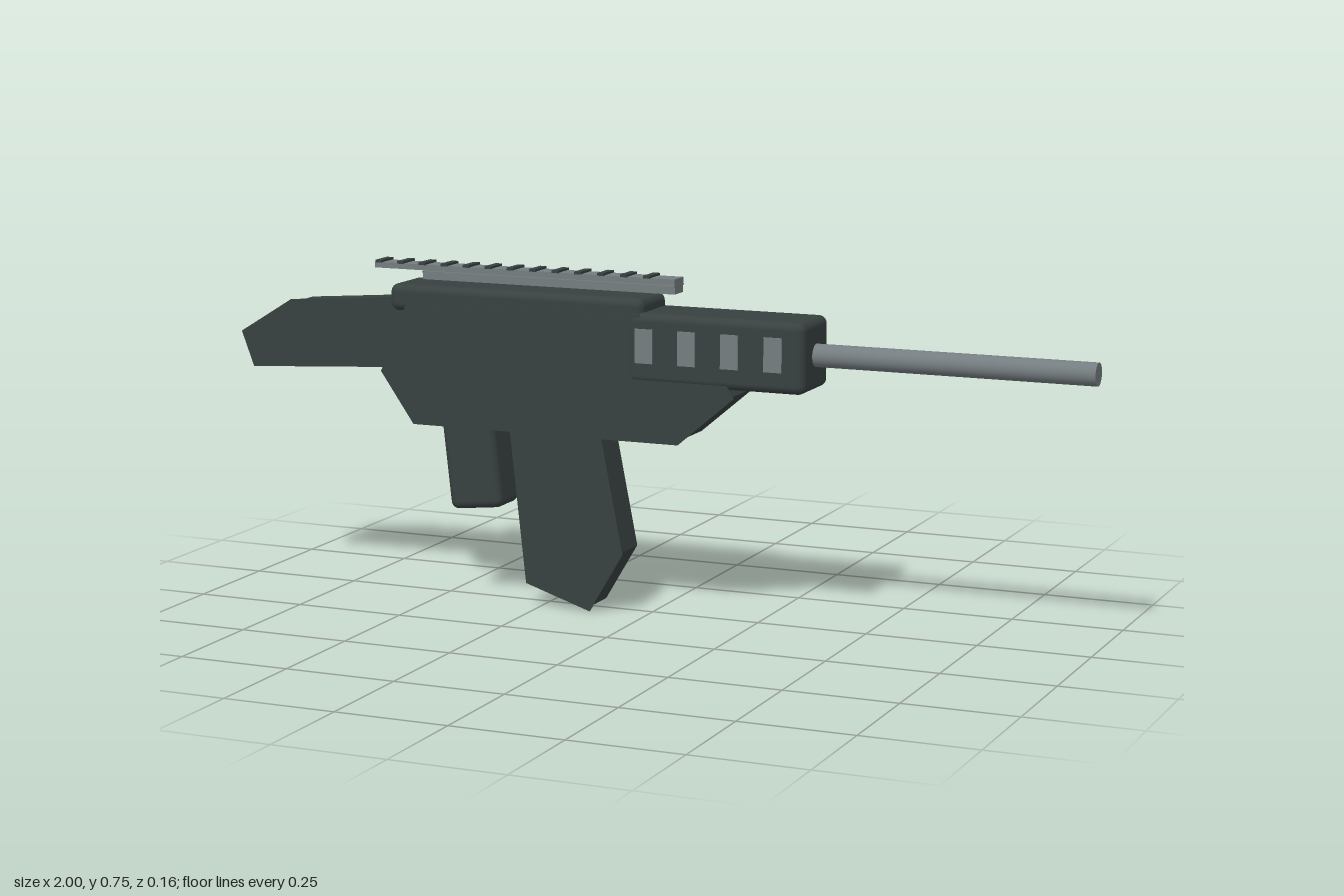
import * as THREE from 'three';
import { RoundedBoxGeometry } from 'three/addons/geometries/RoundedBoxGeometry.js';

export function createModel() {
  const model = new THREE.Group();
  const dark = new THREE.MeshStandardMaterial({ color: 0x384040 });
  dark.name = 'dark polymer';
  const metal = new THREE.MeshStandardMaterial({ color: 0x757d80 });
  metal.name = 'grey metal';

  function add(name, geometry, material, x = 0, y = 0, z = 0, parent = model) {
    const mesh = new THREE.Mesh(geometry, material);
    mesh.name = name;
    mesh.position.set(x, y, z);
    parent.add(mesh);
    return mesh;
  }

  // Bevelled profile, set in slightly behind a full-size flat side plate
  function profilePart(name, points, halfDepth) {
    const shape = new THREE.Shape(points.map(([x, y]) => new THREE.Vector2(x, y)));
    const bevel = 0.006, plate = 0.003;
    const group = new THREE.Group();
    group.name = name;
    model.add(group);
    const core = new THREE.ExtrudeGeometry(shape, {
      depth: 2 * halfDepth - 2 * bevel - plate, bevelThickness: bevel,
      bevelSize: bevel, bevelOffset: -0.013, bevelSegments: 2,
    });
    add(name + 'Core', core, dark, 0, 0, -halfDepth + bevel, group);
    const side = new THREE.ExtrudeGeometry(shape, { depth: plate, bevelEnabled: false });
    add(name + 'SidePlate', side, dark, 0, 0, halfDepth - plate, group);
  }

  profilePart('stock', [[-1, 0.58], [-0.97, 0.5], [-0.55, 0.525], [-0.55, 0.685], [-0.87, 0.66]], 0.052);
  profilePart('lowerReceiver', [
    [-0.63, 0.515], [-0.55, 0.4], [0.09, 0.4], [0.22, 0.51], [0.2, 0.545],
    [0, 0.55], [0, 0.68], [-0.565, 0.67],
  ], 0.075);
  profilePart('magazine', [[-0.325, 0.42], [-0.285, 0.055], [-0.13, 0.005], [-0.05, 0.14], [-0.105, 0.42]], 0.052);

  // Upper receiver, handguard and rear grip
  add('upperReceiver', new RoundedBoxGeometry(0.615, 0.06, 0.14, 3, 0.018), dark, -0.3025, 0.682, 0);
  add('handguard', new RoundedBoxGeometry(0.41, 0.155, 0.154, 3, 0.018), dark, 0.175, 0.605, 0);
  const grip = add('rearGrip', new RoundedBoxGeometry(0.128, 0.27, 0.105, 3, 0.018), dark, -0.424, 0.347, 0);
  grip.rotation.z = 0.11;

  // Barrel
  const barrel = add('barrel', new THREE.CylinderGeometry(0.025, 0.025, 0.64, 32), metal, 0.68, 0.605, 0);
  barrel.rotation.z = Math.PI / 2;

  // Handguard side panels
  for (let i = 0; i < 4; i++) {
    add('ventPanel', new THREE.BoxGeometry(0.041, 0.075, 0.004), metal, 0.012 + i * 0.0995, 0.612, 0.078);
  }

  // Bolts along the far side
  for (const x of [0.07, -0.1, -0.25, -0.42, -0.57]) {
    const bolt = add('sideBolt', new THREE.CylinderGeometry(0.013, 0.013, 0.01, 6), metal, x, 0.59, -0.076);
    bolt.rotation.x = Math.PI / 2;
  }

  // Top rail with evenly spaced cross ribs
  const rail = new THREE.Group();
  rail.name = 'topRail';
  model.add(rail);
  add('railBase', new THREE.BoxGeometry(0.61, 0.016, 0.046), metal, -0.243, 0.728, 0, rail);
  add('railTop', new THREE.BoxGeometry(0.73, 0.013, 0.048), metal, -0.303, 0.7465, 0, rail);
  add('railSpine', new THREE.BoxGeometry(0.61, 0.006, 0.04), metal, -0.243, 0.738, 0, rail);
  add('railLip', new THREE.BoxGeometry(0.61, 0.003, 0.056), metal, -0.243, 0.7375, 0, rail);
  for (let i = 0; i < 13; i++) {
    add('railRib', new THREE.BoxGeometry(0.016, 0.006, 0.056), dark, -0.657 + i * 0.0545, 0.755, 0, rail);
  }

  return model;
}
